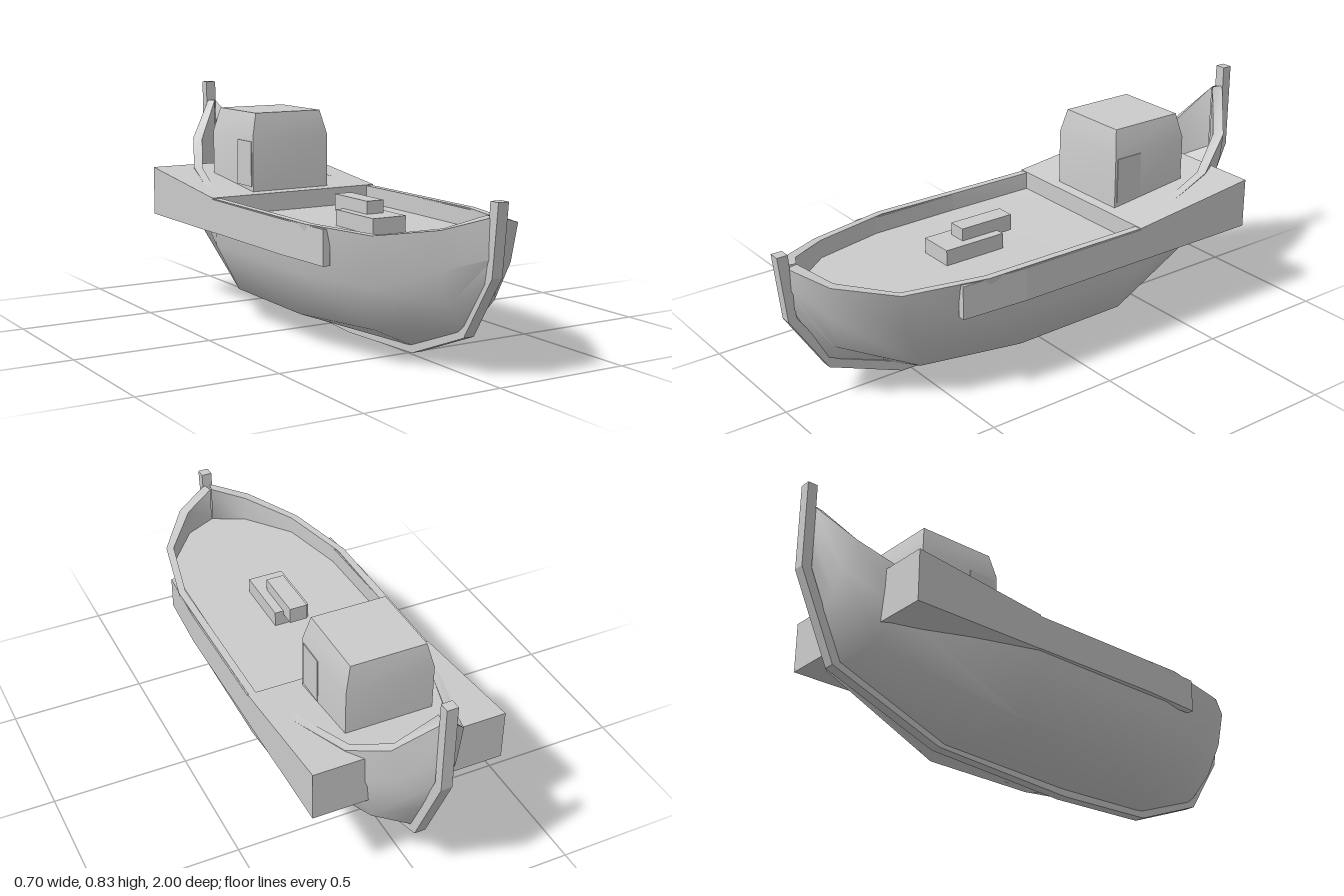
import * as THREE from 'three';
import { toCreasedNormals } from 'three/addons/utils/BufferGeometryUtils.js';

const grey = new THREE.MeshStandardMaterial({ color: 0xcccccc, side: THREE.DoubleSide });

function add(group, name, geometry, x = 0, y = 0, z = 0) {
  const mesh = new THREE.Mesh(geometry, grey);
  mesh.name = name;
  mesh.position.set(x, y, z);
  group.add(mesh);
  return mesh;
}

// Extrudes a side profile of [z, y] points across the width, centred on x = 0.
function sideExtrude(points, width) {
  const shape = new THREE.Shape(points.map(([z, y]) => new THREE.Vector2(-z, y)));
  return new THREE.ExtrudeGeometry(shape, { depth: width, bevelEnabled: false })
    .translate(0, 0, -width / 2).rotateY(Math.PI / 2);
}

// Stations from bow to stern: keel, bilge, chine and sheer as [x, y, z], then deck height.
const stations = [
  [[0, 0.34, 0.965], [0.01, 0.40, 0.965], [0.01, 0.46, 0.965], [0.01, 0.53, 0.965], 0.39],
  [[0, 0.14, 0.83], [0.09, 0.24, 0.85], [0.135, 0.36, 0.87], [0.15, 0.49, 0.885], 0.39],
  [[0, 0.03, 0.54], [0.19, 0.12, 0.58], [0.25, 0.28, 0.66], [0.28, 0.457, 0.70], 0.39],
  [[0, 0.02, 0.15], [0.25, 0.105, 0.20], [0.325, 0.28, 0.35], [0.345, 0.457, 0.40], 0.39],
  [[0, 0.045, -0.41], [0.25, 0.11, -0.25], [0.335, 0.28, -0.26], [0.345, 0.455, -0.26], 0.39],
  [[0, 0.21, -0.84], [0.14, 0.26, -0.78], [0.19, 0.38, -0.73], [0.205, 0.512, -0.71], 0.42],
  [[0, 0.36, -0.91], [0.06, 0.42, -0.90], [0.10, 0.50, -0.89], [0.13, 0.61, -0.87], 0.45],
  [[0, 0.51, -0.97], [0.01, 0.58, -0.97], [0.01, 0.67, -0.97], [0.01, 0.755, -0.97], 0.51],
];

// Hull shell with bulwark thickness and inner deck, lofted through closed rings.
function hullGeometry() {
  const position = [], index = [];
  for (const [keel, bilge, chine, sheer, deckY] of stations) {
    const [sx, sy, sz] = sheer;
    const inX = Math.max(sx - 0.027, 0.002);
    const inZ = sz - Math.sign(sz) * 0.045 * (1 - Math.min(sx / 0.345, 1));
    const half = [bilge, chine, sheer, [inX, sy, inZ], [inX, deckY, inZ]];
    const mirrored = half.map(([x, y, z]) => [-x, y, z]).reverse();
    position.push(...[keel, ...half, ...mirrored].flat());
  }
  const n = 11;
  for (let i = 0; i < stations.length - 1; i++) {
    for (let j = 0; j < n; j++) {
      const a = i * n + j, b = i * n + (j + 1) % n;
      index.push(a, a + n, b, b, a + n, b + n);
    }
  }
  const geometry = new THREE.BufferGeometry();
  geometry.setAttribute('position', new THREE.Float32BufferAttribute(position, 3));
  geometry.setIndex(index);
  return toCreasedNormals(geometry, 0.95);
}

// Cabin box whose upper part tapers towards the roof.
function cabinGeometry() {
  const geometry = new THREE.BoxGeometry(0.322, 0.355, 0.325, 1, 2, 1);
  const p = geometry.attributes.position;
  for (let i = 0; i < p.count; i++) {
    const y = p.getY(i);
    if (y > 0.1) p.setXYZ(i, p.getX(i) * 0.86, y, p.getZ(i) * 0.89);
    else if (y > -0.1) p.setY(i, 0.0875);
  }
  return toCreasedNormals(geometry, 0.6);
}

export function createModel() {
  const boat = new THREE.Group();
  boat.name = 'boat';

  add(boat, 'hull', hullGeometry());

  // Continuous stem, keel and stern post
  add(boat, 'keel', sideExtrude([
    [1, 0.58], [0.975, 0.34], [0.835, 0.125], [0.55, 0.013], [0.15, 0], [-0.42, 0.035],
    [-0.86, 0.20], [-1, 0.51], [-1, 0.83], [-0.963, 0.83], [-0.963, 0.515], [-0.835, 0.225],
    [-0.41, 0.065], [0.15, 0.03], [0.54, 0.045], [0.81, 0.15], [0.945, 0.35], [0.96, 0.58],
  ], 0.04));

  // Raised aft deck, full beam with a square back
  add(boat, 'aftDeck', sideExtrude([
    [-0.26, 0.33], [-0.26, 0.458], [-0.775, 0.516], [-0.775, 0.33],
  ], 0.70));

  for (const side of [1, -1]) {
    // Side fender that grows out of the hull and runs into the aft deck
    const outline = [[0.31, 0.5], [0.336, 0.5], [0.35, 0.25], [0.35, -0.27], [0.325, -0.27]];
    const shape = new THREE.Shape(outline.map(([x, z]) => new THREE.Vector2(side * x, z)));
    const fender = new THREE.ExtrudeGeometry(shape, { depth: 0.122, bevelEnabled: false });
    fender.rotateX(Math.PI / 2);
    add(boat, side > 0 ? 'leftFender' : 'rightFender', fender, 0, 0.453, 0);

    // Cabin door
    add(boat, side > 0 ? 'leftDoor' : 'rightDoor',
      new THREE.BoxGeometry(0.006, 0.17, 0.11), side * 0.161, 0.565, -0.362);
  }

  add(boat, 'cabin', cabinGeometry(), 0, 0.5775, -0.46);

  // Stepped hatch on the foredeck
  add(boat, 'hatchBase', new THREE.BoxGeometry(0.134, 0.065, 0.24), 0, 0.415, 0.26);
  add(boat, 'hatchTop', new THREE.BoxGeometry(0.068, 0.06, 0.21), 0, 0.463, 0.185);

  return boat;
}
